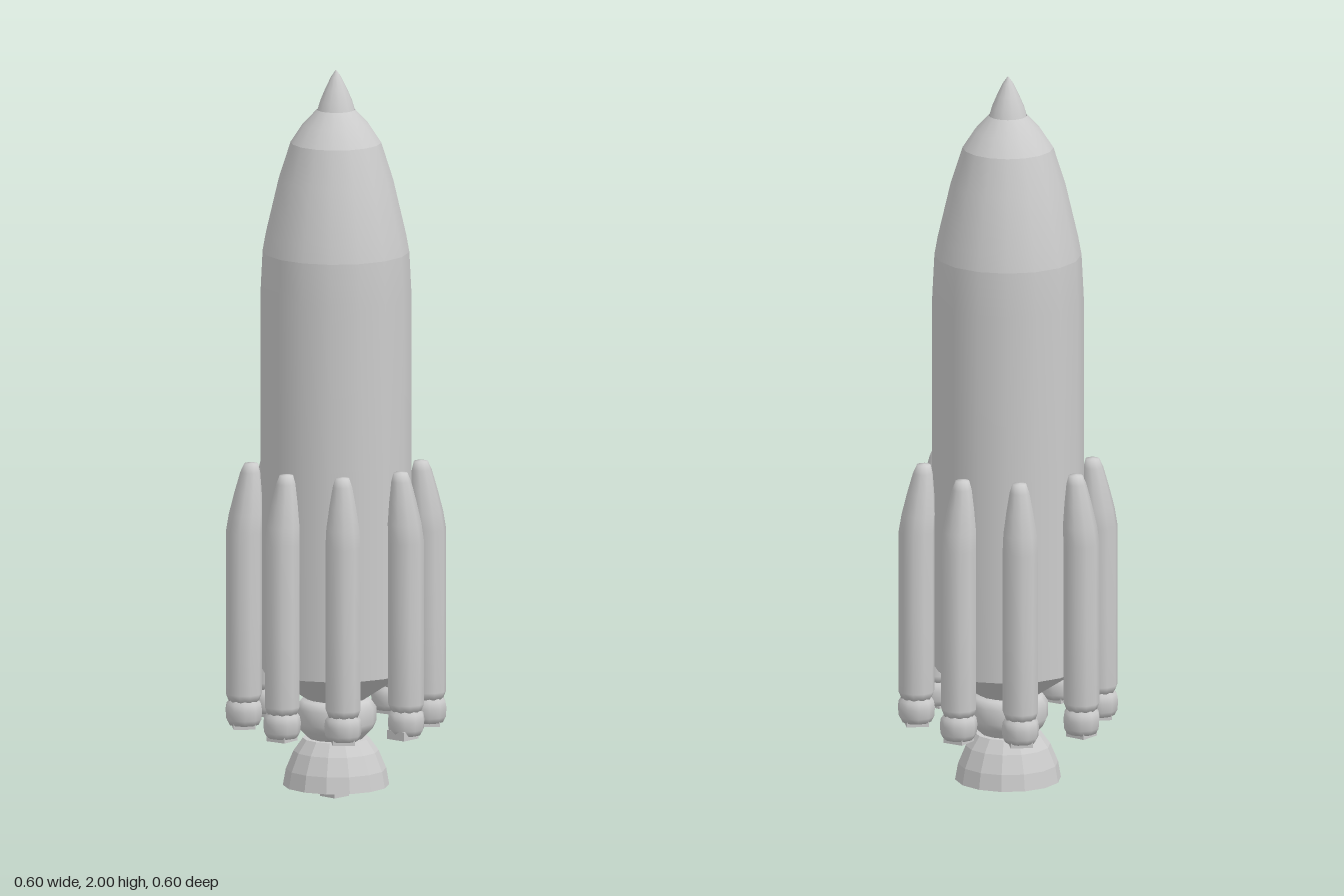
import * as THREE from 'three';

const rad = THREE.MathUtils.degToRad;
const smooth = new THREE.MeshStandardMaterial({ color: 0xcccccc, side: THREE.DoubleSide });
const flat = new THREE.MeshStandardMaterial({ color: 0xcccccc, side: THREE.DoubleSide, flatShading: true });

// Turned part from [radius, height] pairs, listed from bottom to top
function turned(name, profile, sides, material, startDeg = 0) {
  const points = profile.map(([r, y]) => new THREE.Vector2(r, y));
  const mesh = new THREE.Mesh(new THREE.LatheGeometry(points, sides, rad(startDeg)), material);
  mesh.name = name;
  return mesh;
}

function block(name, w, h, d, x, y, z) {
  const mesh = new THREE.Mesh(new THREE.BoxGeometry(w, h, d), flat);
  mesh.name = name;
  mesh.position.set(x, y, z);
  return mesh;
}

// Side booster, built upright at the origin with +z pointing away from the core
function createBooster(index) {
  const booster = new THREE.Group();
  booster.name = 'booster' + (index + 1);

  const tank = turned('boosterTank', [
    [0, 0.265], [0.041, 0.265], [0.049, 0.285], [0.049, 0.5], [0.049, 0.73],
    [0.046, 0.78], [0.037, 0.84], [0.027, 0.895], [0.019, 0.918], [0, 0.92],
  ], 10, smooth);
  // Lean the nose in toward the core
  const pos = tank.geometry.attributes.position;
  for (let i = 0; i < pos.count; i++) {
    const t = Math.max(0, (pos.getY(i) - 0.73) / 0.19);
    pos.setZ(i, pos.getZ(i) - 0.02 * t);
  }
  booster.add(tank);

  booster.add(turned('boosterNozzle', [
    [0, 0.2], [0.041, 0.2], [0.049, 0.215], [0.051, 0.24], [0.048, 0.258], [0.036, 0.272],
  ], 10, smooth, 18));
  booster.add(block('boosterExhaust', 0.06, 0.025, 0.06, index === 0 ? -0.014 : 0, 0.2025, 0));
  return booster;
}

export function createModel() {
  const rocket = new THREE.Group();
  rocket.name = 'rocket';

  // Core stage, split into sections so each joint keeps a soft crease
  const start = -5;
  rocket.add(turned('coreBody', [[0.203, 0.35], [0.205, 0.9], [0.205, 1.38], [0.199, 1.5]], 16, smooth, start));
  rocket.add(turned('lowerFairing', [
    [0.199, 1.5], [0.19, 1.55], [0.176, 1.61], [0.155, 1.7], [0.123, 1.8],
  ], 16, smooth, start));
  rocket.add(turned('upperFairing', [[0.123, 1.8], [0.09, 1.85], [0.052, 1.89]], 16, smooth, start));
  rocket.add(turned('noseTip', [
    [0.052, 1.888], [0.044, 1.915], [0.031, 1.945], [0.014, 1.98], [0, 2],
  ], 12, smooth, start));

  // Tapered underside of the core
  rocket.add(turned('coreUnderside', [[0.06, 0.255], [0.203, 0.35]], 16, flat, start));

  // Main engine: collar, then a flared bell with a hollow inside
  rocket.add(turned('engineCollar', [
    [0.075, 0.16], [0.1, 0.185], [0.109, 0.205], [0.109, 0.245], [0.095, 0.265], [0.05, 0.28],
  ], 14, smooth, start));
  rocket.add(turned('engineBell', [
    [0, 0.07], [0.135, 0.03], [0.144, 0.03], [0.136, 0.075], [0.115, 0.125], [0.09, 0.16], [0, 0.165],
  ], 14, flat, start));
  rocket.add(block('engineExhaust', 0.055, 0.08, 0.055, -0.008, 0.04, 0.002));

  // Ring of boosters
  [3.5, 48.5, 98.5, 138.5, 183.5, 228.5, 278.5, 318.5].forEach((deg, i) => {
    const booster = createBooster(i);
    const a = rad(deg);
    booster.position.set(0.25 * Math.sin(a), 0, 0.25 * Math.cos(a));
    booster.rotation.y = a;
    rocket.add(booster);
  });

  return rocket;
}
